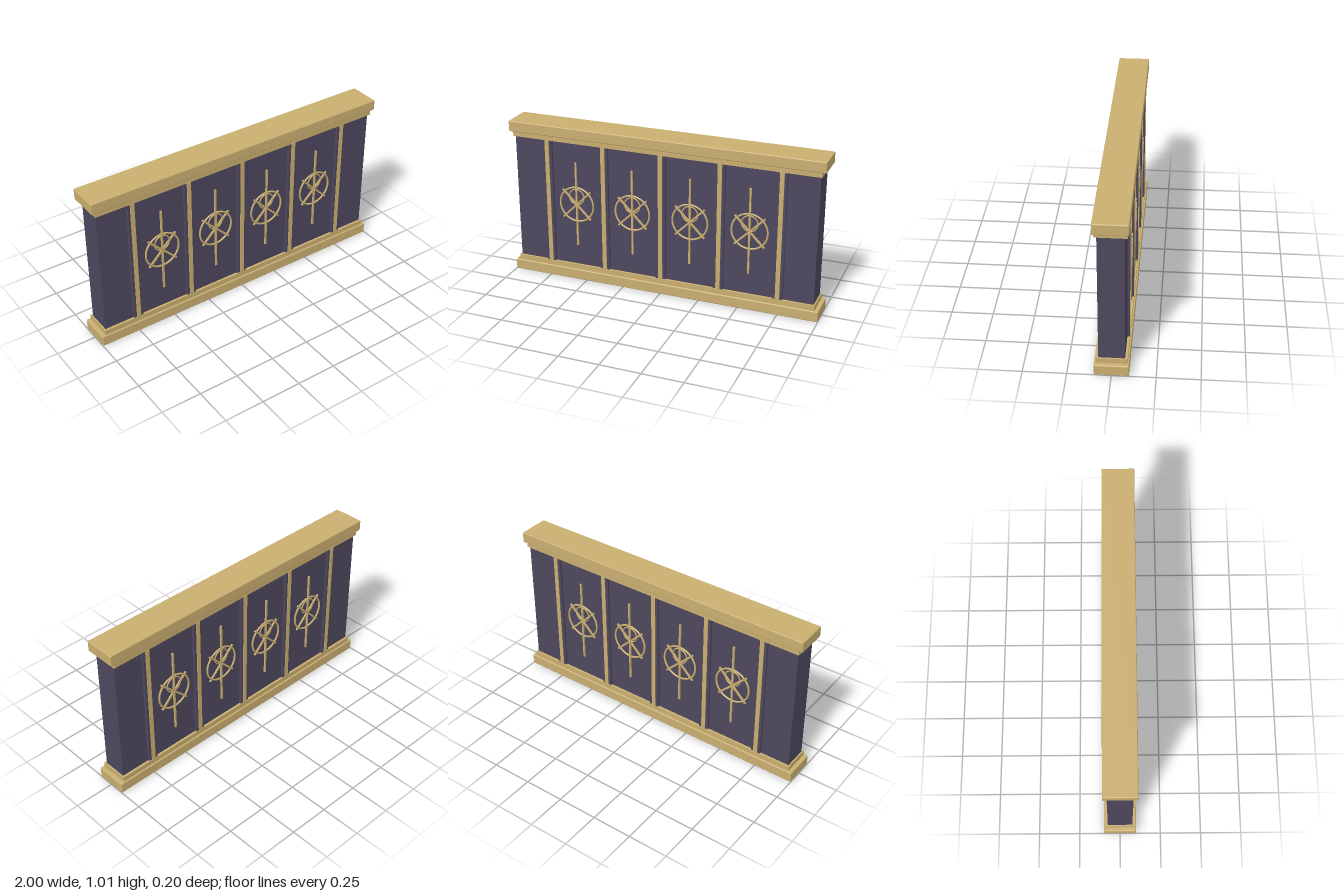
import * as THREE from 'three';
import { RoundedBoxGeometry } from 'three/addons/geometries/RoundedBoxGeometry.js';

const gold = new THREE.MeshStandardMaterial({ color: 0xc9ae70 });
gold.name = 'gold';
const plum = new THREE.MeshStandardMaterial({ color: 0x4d475d });
plum.name = 'plum';

function add(parent, name, geometry, material, x = 0, y = 0, z = 0) {
  const mesh = new THREE.Mesh(geometry, material);
  mesh.name = name;
  mesh.position.set(x, y, z);
  parent.add(mesh);
  return mesh;
}

// Wheel ornament with a long upright, crossed spokes and a small inner ring
function createOrnament() {
  const g = new THREE.Group();
  g.name = 'ornament';
  add(g, 'outerRing', new THREE.TorusGeometry(0.112, 0.006, 8, 40), gold);
  add(g, 'innerRing', new THREE.TorusGeometry(0.05, 0.004, 8, 28), gold, 0, 0.05, 0);
  add(g, 'upright', new THREE.BoxGeometry(0.011, 0.55, 0.012), gold);
  for (const s of [-1, 1]) {
    const spoke = add(g, 'spoke', new THREE.BoxGeometry(0.011, 0.262, 0.01), gold);
    spoke.rotation.z = s * Math.PI / 4;
  }
  return g;
}

// One long face: pilasters with gold strips and the ornaments between them
function createFace(name) {
  const face = new THREE.Group();
  face.name = name;
  const height = 0.81, midY = 0.505, step = 0.373;
  for (let i = -2; i <= 2; i++) {
    add(face, 'pilaster', new RoundedBoxGeometry(0.064, height, 0.03, 2, 0.005), plum, i * step, midY, 0.074);
    add(face, 'pilasterStrip', new THREE.BoxGeometry(0.027, height, 0.012), gold, i * step, midY, 0.087);
  }
  for (let i = -1.5; i <= 1.5; i++) {
    const ornament = createOrnament();
    ornament.position.set(i * step, 0.508, 0.079);
    face.add(ornament);
  }
  return face;
}

export function createModel() {
  const model = new THREE.Group();
  model.name = 'panelledBarrier';

  // Core wall
  add(model, 'wall', new THREE.BoxGeometry(1.932, 0.83, 0.15), plum, 0, 0.505, 0);

  // Base and cap, each with a narrower moulding
  add(model, 'base', new RoundedBoxGeometry(2, 0.068, 0.197, 2, 0.006), gold, 0, 0.034, 0);
  add(model, 'baseMoulding', new THREE.BoxGeometry(1.95, 0.036, 0.179), gold, 0, 0.082, 0);
  add(model, 'capMoulding', new THREE.BoxGeometry(1.95, 0.036, 0.179), gold, 0, 0.926, 0);
  add(model, 'cap', new RoundedBoxGeometry(2, 0.068, 0.197, 2, 0.006), gold, 0, 0.972, 0);

  // Matching front and back faces
  model.add(createFace('frontFace'));
  const back = createFace('backFace');
  back.rotation.y = Math.PI;
  model.add(back);

  return model;
}
